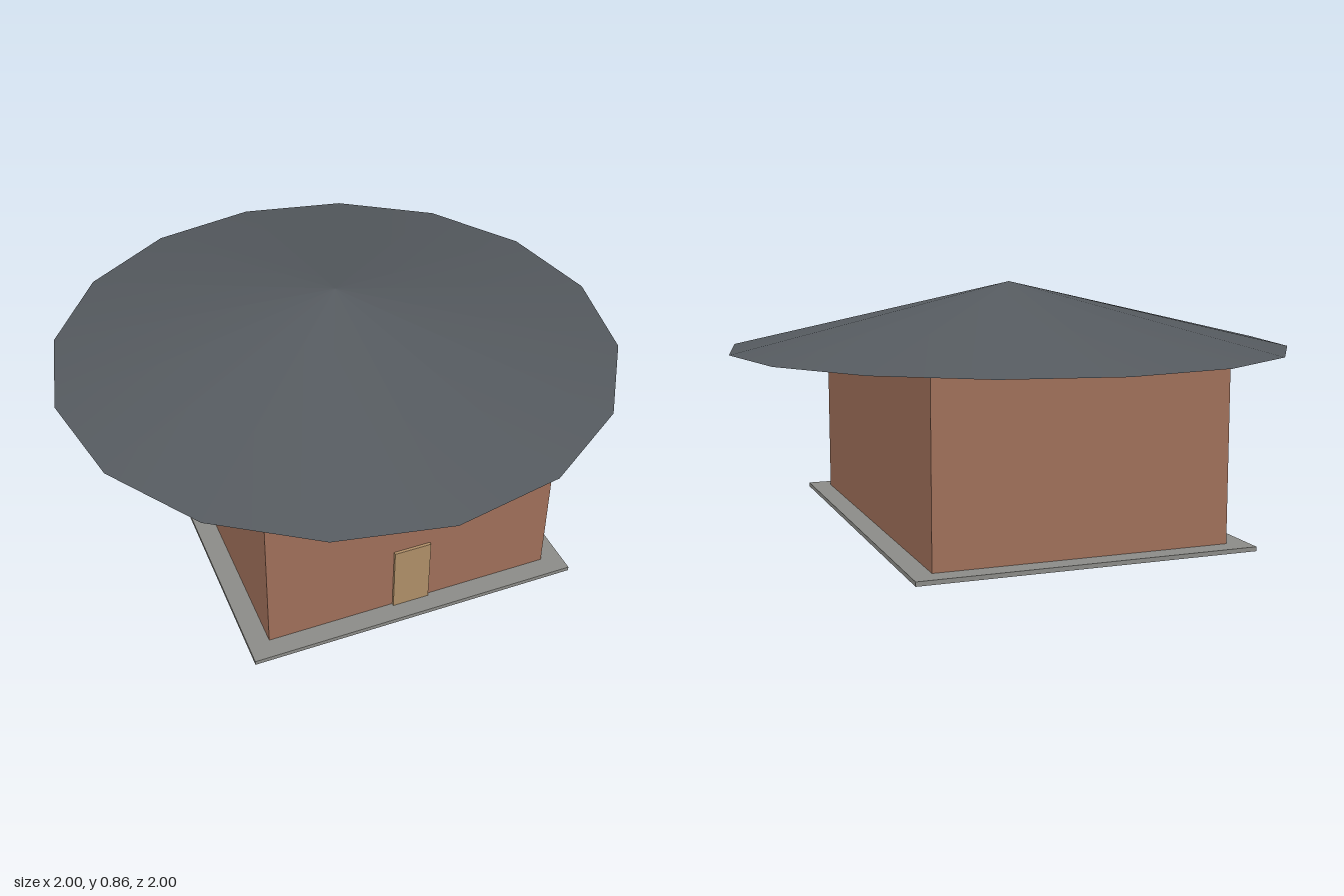
import * as THREE from 'three';

export function createModel() {
  const house = new THREE.Group();
  house.name = 'house';

  const addPart = (name, geometry, color, y, z = 0) => {
    const mesh = new THREE.Mesh(geometry, new THREE.MeshStandardMaterial({ color }));
    mesh.name = name;
    mesh.position.set(0, y, z);
    house.add(mesh);
  };

  const baseTop = 0.015, wallTop = 0.63, apex = 0.86;
  const wallHeight = wallTop - baseTop, roofHeight = apex - wallTop;
  const doorHeight = 0.245;

  // Thin ground slab
  addPart('foundation', new THREE.BoxGeometry(1.165, baseTop, 1.53), 0x8c8c88, baseTop / 2);

  // Rectangular brick body
  addPart('walls', new THREE.BoxGeometry(1.02, wallHeight, 1.39), 0xa0705a, baseTop + wallHeight / 2);

  // Wide sixteen-sided conical roof with a closed underside
  addPart('roof', new THREE.ConeGeometry(1, roofHeight, 16), 0x555a5f, wallTop + roofHeight / 2);

  // Door panel standing slightly proud of the front wall
  addPart('door', new THREE.BoxGeometry(0.13, doorHeight, 0.02), 0xb08f68, baseTop + doorHeight / 2, 0.695);

  return house;
}
